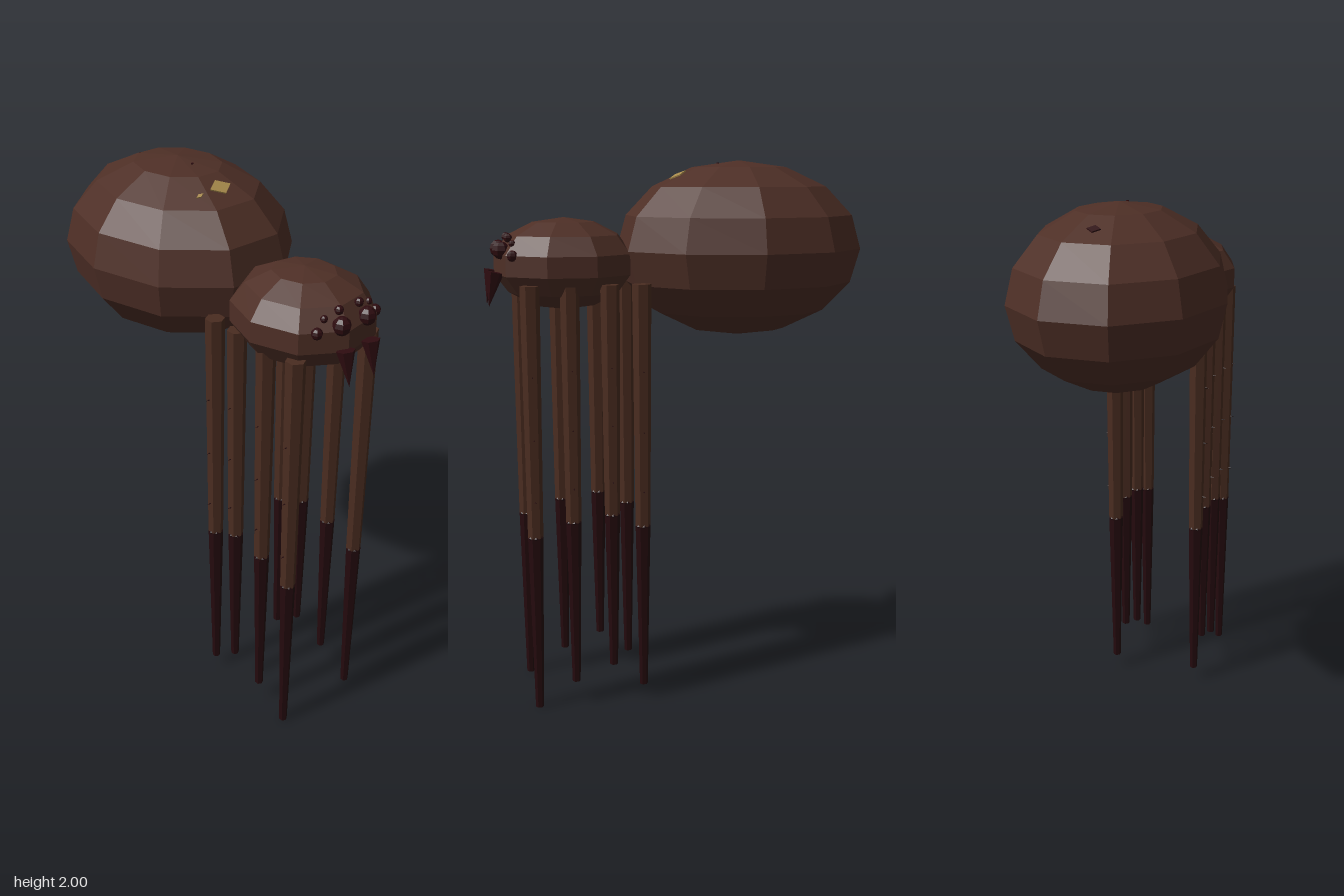
import * as THREE from 'three';

export function createModel() {
  const spider = new THREE.Group();
  spider.name = 'spider';

  const material = (name, color) => {
    const m = new THREE.MeshStandardMaterial({ color, flatShading: true });
    m.name = name;
    return m;
  };
  const bodyBrown = material('bodyBrown', 0x4e2f26);
  const legBrown = material('legBrown', 0x4a2c20);
  const darkShin = material('darkShin', 0x240a0d);
  const eyeRed = material('eyeRed', 0x2e0c10);
  const gold = material('gold', 0xa88a4c);

  const add = (parent, name, geometry, mat, x, y, z) => {
    const mesh = new THREE.Mesh(geometry, mat);
    mesh.name = name;
    mesh.position.set(x, y, z);
    parent.add(mesh);
    return mesh;
  };

  // Body: two faceted ellipsoids
  add(spider, 'abdomen', new THREE.SphereGeometry(1, 10, 8).scale(0.38, 0.32, 0.46), bodyBrown, 0, 1.68, -0.25);
  add(spider, 'head', new THREE.SphereGeometry(1, 9, 7).scale(0.24, 0.165, 0.262), bodyBrown, 0, 1.635, 0.4);

  // Thin diamond markings lying on the abdomen facets
  const up = new THREE.Vector3(0, 1, 0);
  const marking = (name, mat, pos, normal, w, l) => {
    const geo = new THREE.CylinderGeometry(1, 1, 0.006, 4).scale(w, 1, l);
    const mesh = add(spider, name, geo, mat, ...pos);
    mesh.quaternion.setFromUnitVectors(up, new THREE.Vector3(...normal).normalize());
  };
  marking('goldMarking', gold, [0, 1.947, -0.02], [0, 0.142, 0.07], 0.045, 0.033);
  marking('smallGoldMarking', gold, [-0.09, 1.937, -0.02], [-0.44, 1.27, 0.51], 0.015, 0.007);
  marking('rearMarking', eyeRed, [0, 1.942, -0.49], [0, 0.142, -0.07], 0.024, 0.019);
  marking('middleMarking', eyeRed, [0, 1.989, -0.17], [0, 1, 0.14], 0.006, 0.004);

  // Eyes: x, y, z, radius, mirrored
  const eyes = [
    [0.057, 1.688, 0.632, 0.032],
    [0.045, 1.73, 0.605, 0.016],
    [0.132, 1.672, 0.598, 0.02],
    [0.1, 1.712, 0.595, 0.013],
  ];
  // Legs: z, knee height, foot height
  const legs = [
    [0.545, 0.66, 0],
    [0.405, 0.71, 0.09],
    [0.262, 0.73, 0.145],
    [0.148, 0.68, 0.055],
  ];
  const hipY = 1.57;

  for (const [side, label] of [[1, 'left'], [-1, 'right']]) {
    eyes.forEach(([x, y, z, r], i) => {
      add(spider, `${label}Eye${i + 1}`, new THREE.SphereGeometry(r, 7, 6), eyeRed, side * x, y, z);
    });

    // Fang pointing down and slightly forward
    const fang = add(spider, `${label}Fang`, new THREE.ConeGeometry(0.032, 0.125, 6), eyeRed, side * 0.057, 1.55, 0.667);
    fang.rotation.x = Math.PI - 0.2;

    legs.forEach(([z, knee, foot], i) => {
      const leg = new THREE.Group();
      leg.name = `${label}Leg${i + 1}`;
      leg.position.set(side * 0.168, 0, z);
      spider.add(leg);
      add(leg, 'upperLeg', new THREE.CylinderGeometry(0.035, 0.028, hipY - knee, 6), legBrown, 0, (hipY + knee) / 2, 0);
      add(leg, 'knee', new THREE.SphereGeometry(0.029, 6, 4).scale(1, 0.6, 1), darkShin, 0, knee, 0);
      add(leg, 'lowerLeg', new THREE.CylinderGeometry(0.028, 0.015, knee - foot, 6), darkShin, 0, (knee + foot) / 2, 0);
      // Short bristles on the outer face
      for (const t of [0.35, 0.6, 0.85]) {
        const y = hipY + (knee - hipY) * t;
        const hair = add(leg, 'bristle', new THREE.ConeGeometry(0.004, 0.02, 4), darkShin, side * 0.032, y, 0);
        hair.rotation.z = -side * Math.PI / 2;
      }
    });
  }
  return spider;
}
